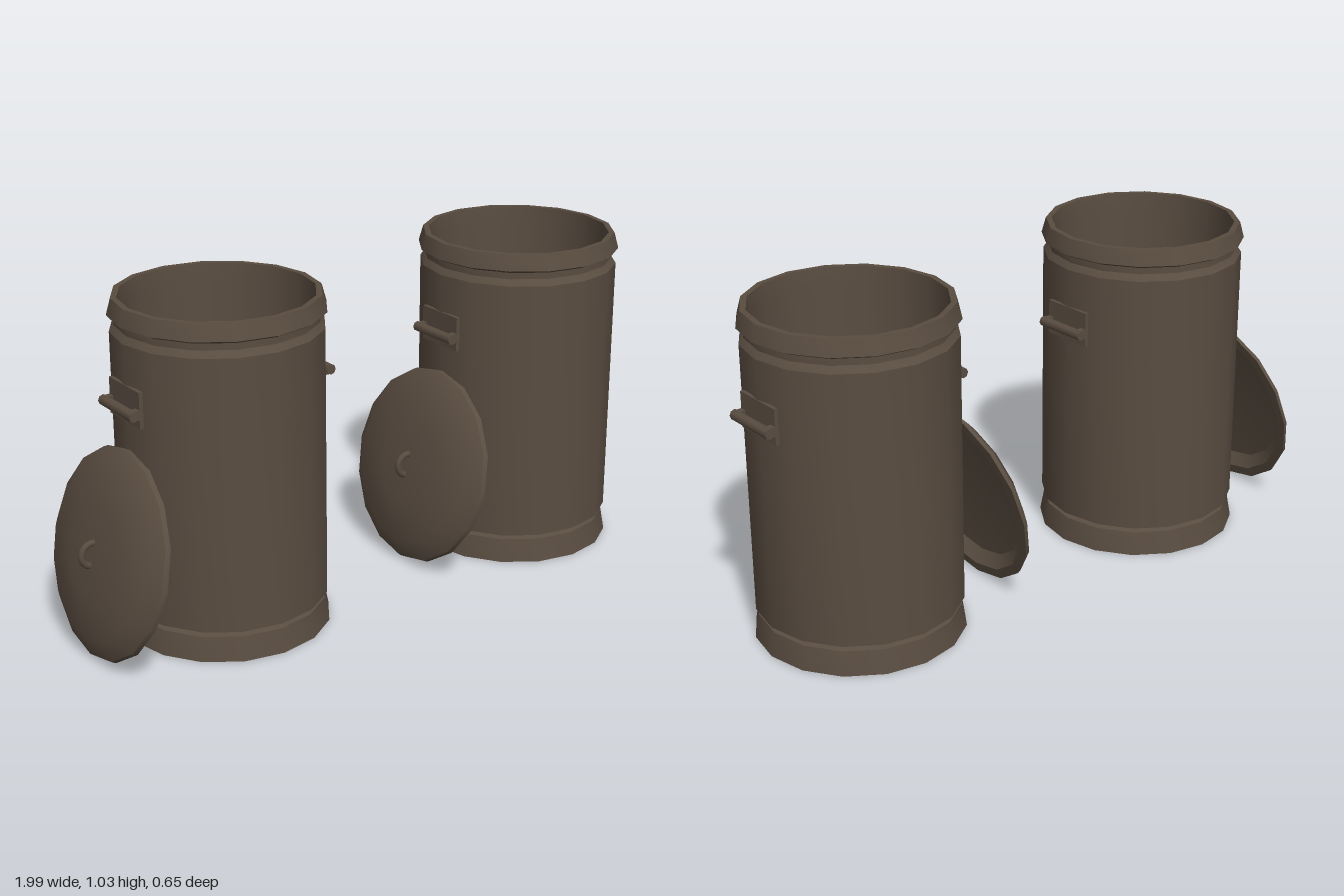
import * as THREE from 'three';
import { toCreasedNormals } from 'three/addons/utils/BufferGeometryUtils.js';

const SIDES = 16;

// Turned part from [radius, height] pairs, smooth round the axis with crisp ridges
function turned(name, profile, material) {
  const geometry = new THREE.LatheGeometry(profile.map(([r, y]) => new THREE.Vector2(r, y)), SIDES);
  const mesh = new THREE.Mesh(toCreasedNormals(geometry, 0.6), material);
  mesh.name = name;
  return mesh;
}

function box(name, size, position, material) {
  const mesh = new THREE.Mesh(new THREE.BoxGeometry(...size), material);
  mesh.name = name;
  mesh.position.set(...position);
  return mesh;
}

// Carrying handle facing +x: back plate, two brackets and a grip
function sideHandle(material) {
  const handle = new THREE.Group();
  handle.name = 'sideHandle';
  handle.add(box('handlePlate', [0.012, 0.11, 0.17], [0.312, 0.76, 0], material));
  for (const s of [-1, 1]) {
    handle.add(box('handleBracket', [0.035, 0.03, 0.02], [0.325, 0.748, s * 0.075], material));
  }
  const grip = new THREE.Mesh(new THREE.CylinderGeometry(0.016, 0.016, 0.18, 8), material);
  grip.name = 'handleGrip';
  grip.rotation.x = Math.PI / 2;
  grip.position.set(0.338, 0.748, 0);
  handle.add(grip);
  return handle;
}

function trashCan(material) {
  const can = new THREE.Group();
  can.name = 'trashCan';
  // Foot ring, groove, wall, neck, rim, then down the inside to the floor
  can.add(turned('canBody', [
    [0, 0], [0.322, 0], [0.308, 0.075], [0.29, 0.08], [0.29, 0.093],
    [0.316, 0.095], [0.316, 0.935], [0.302, 0.955], [0.302, 0.975],
    [0.322, 0.985], [0.308, 1.035], [0.29, 1.035], [0.286, 0.98],
    [0.286, 0.09], [0, 0.09],
  ], material));
  for (const turn of [0, Math.PI]) {
    const handle = sideHandle(material);
    handle.rotation.y = turn;
    can.add(handle);
  }
  return can;
}

function lid(material) {
  const group = new THREE.Group();
  group.name = 'lid';
  // Hollow underside, flat lip, sloping shoulder and shallow dome
  group.add(turned('lidDome', [
    [0, 0.05], [0.25, 0.035], [0.285, 0], [0.316, 0],
    [0.312, 0.015], [0.255, 0.05], [0.13, 0.064], [0, 0.07],
  ], material));
  const loop = new THREE.Mesh(new THREE.TorusGeometry(0.035, 0.011, 6, 10, Math.PI), material);
  loop.name = 'lidHandle';
  loop.position.y = 0.066;
  group.add(loop);
  return group;
}

export function createModel() {
  const model = new THREE.Group();
  model.name = 'trashCans';
  const metal = new THREE.MeshStandardMaterial({ color: 0x5a4d41 });
  metal.name = 'brownMetal';

  // Two cans, each with its lid leaning on the -x side
  for (const x of [-0.487, 0.655]) {
    const set = new THREE.Group();
    set.name = 'canWithLid';
    set.position.set(x, 0, -0.008);
    const leaning = lid(metal);
    leaning.position.set(-0.388, 0.312, 0.01);
    leaning.rotation.z = 1.33;
    set.add(trashCan(metal), leaning);
    model.add(set);
  }
  return model;
}
